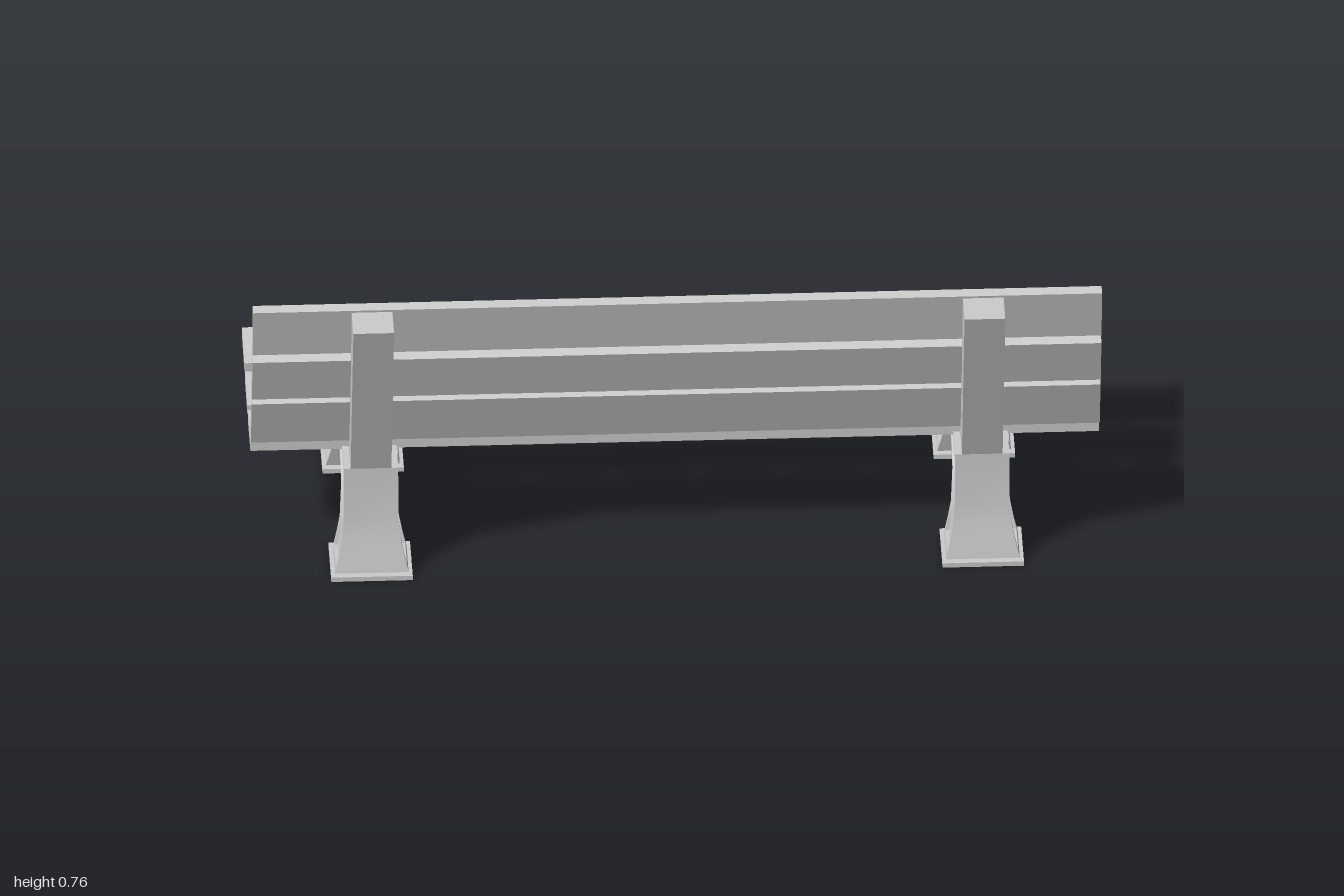
import * as THREE from 'three';
import { toCreasedNormals } from 'three/addons/utils/BufferGeometryUtils.js';

const material = new THREE.MeshStandardMaterial({ color: 0xcccccc });

function addMesh(parent, name, geometry) {
  const mesh = new THREE.Mesh(geometry, material);
  mesh.name = name;
  parent.add(mesh);
  return mesh;
}

// Extrude a [z, y] profile along x, centred on x = 0
function extrudeX(profile, width) {
  const shape = new THREE.Shape(profile.map(([z, y]) => new THREE.Vector2(z, y)));
  return new THREE.ExtrudeGeometry(shape, { depth: width, bevelEnabled: false })
    .translate(0, 0, -width / 2)
    .rotateY(-Math.PI / 2);
}

// Arched support: outer edge and the matching edge of its recessed panel, as [z, y]
const outline = [
  [0.255, 0.012], [0.246, 0.05], [0.236, 0.09], [0.225, 0.14], [0.218, 0.28],
  [-0.04, 0.281], [-0.11, 0.285], [-0.305, 0.303],
  [-0.312, 0.14], [-0.324, 0.09], [-0.333, 0.05], [-0.342, 0.012],
  [-0.222, 0.012], [-0.213, 0.05], [-0.204, 0.09], [-0.156, 0.15],
  [-0.085, 0.185], [0, 0.185], [0.069, 0.15], [0.119, 0.09], [0.127, 0.05], [0.135, 0.012],
];
const panelEdge = [
  [0.238, 0.024], [0.233, 0.05], [0.224, 0.09], [0.212, 0.14], [0.205, 0.267],
  [-0.02, 0.268], [-0.11, 0.274], [-0.295, 0.297],
  [-0.3, 0.14], [-0.31, 0.09], [-0.318, 0.05], [-0.325, 0.024],
  [-0.232, 0.024], [-0.226, 0.05], [-0.216, 0.09], [-0.164, 0.16],
  [-0.085, 0.199], [0, 0.199], [0.077, 0.16], [0.13, 0.09], [0.139, 0.05], [0.145, 0.024],
];
// Panel pieces, split at the heights where the legs flare
const panelPieces = [
  [0, 1, 20, 21], [1, 2, 19, 20], [2, 3, 18, 19],
  [10, 11, 12, 13], [9, 10, 13, 14], [8, 9, 14, 15],
  [3, 4, 5, 6, 7, 8, 15, 16, 17, 18],
];

// Half thickness: straight above, flaring toward the foot
const halfWidth = (y) => 0.064 + 0.023 * Math.pow(Math.max(0, (0.14 - y) / 0.128), 1.5);

function supportGeometry() {
  const recess = 0.008;
  const positions = [];
  const at = ([z, y], side, inset = 0) => [side * (halfWidth(y) - inset), y, z];
  const tri = (a, b, c, flip) => positions.push(...a, ...(flip ? c : b), ...(flip ? b : c));
  const quad = (a, b, c, d, flip) => { tri(a, b, c, flip); tri(a, c, d, flip); };

  outline.forEach((a, i) => {
    const j = (i + 1) % outline.length;
    const b = outline[j], pa = panelEdge[i], pb = panelEdge[j];
    // edge wall
    quad(at(a, -1), at(a, 1), at(b, 1), at(b, -1), false);
    for (const side of [1, -1]) {
      // rim face and the step down to the panel
      quad(at(a, side), at(pa, side), at(pb, side), at(b, side), side < 0);
      quad(at(pa, side), at(pa, side, recess), at(pb, side, recess), at(pb, side), side < 0);
    }
  });
  for (const piece of panelPieces) {
    const points = piece.map((i) => panelEdge[i]);
    const faces = THREE.ShapeUtils.triangulateShape(points.map(([z, y]) => new THREE.Vector2(z, y)), []);
    for (const side of [1, -1]) {
      for (const f of faces) {
        const [a, b, c] = f.map((i) => at(points[i], side, recess));
        tri(a, b, c, side > 0);
      }
    }
  }
  const geometry = new THREE.BufferGeometry();
  geometry.setAttribute('position', new THREE.Float32BufferAttribute(positions, 3));
  return toCreasedNormals(geometry, 0.45);
}

export function createModel() {
  const bench = new THREE.Group();
  bench.name = 'bench';

  // Planks, each a [z, y] section running the full length
  const planks = {
    backrestPlank: [
      [[0.27, 0.753], [0.244, 0.757], [0.216, 0.624], [0.242, 0.618]],
      [[0.238, 0.594], [0.212, 0.602], [0.176, 0.474], [0.2, 0.468]],
      [[0.19, 0.448], [0.164, 0.454], [0.122, 0.323], [0.148, 0.315]],
    ],
    seatPlank: [
      [[0.118, 0.273], [0.118, 0.301], [-0.018, 0.301], [-0.018, 0.273]],
      [[-0.042, 0.273], [-0.041, 0.299], [-0.172, 0.31], [-0.174, 0.284]],
      [[-0.198, 0.292], [-0.196, 0.318], [-0.332, 0.332], [-0.335, 0.305]],
    ],
  };
  for (const [name, sections] of Object.entries(planks)) {
    sections.forEach((section, i) => addMesh(bench, name + (i + 1), extrudeX(section, 2)));
  }

  // Two identical frames: arched support, leaning post, two foot plates
  const support = supportGeometry();
  const post = extrudeX([
    [0.218, 0.28], [0.362, 0.747], [0.256, 0.747], [0.224, 0.62], [0.179, 0.468], [0.125, 0.28],
  ], 0.096);
  for (const side of [1, -1]) {
    const frame = new THREE.Group();
    frame.name = side > 0 ? 'leftFrame' : 'rightFrame';
    frame.position.x = side * 0.72;
    addMesh(frame, 'archedSupport', support);
    addMesh(frame, 'backrestPost', post);
    for (const z of [0.195, -0.282]) {
      addMesh(frame, 'footPlate', new THREE.BoxGeometry(0.192, 0.012, 0.154)).position.set(0, 0.006, z);
    }
    bench.add(frame);
  }
  return bench;
}
